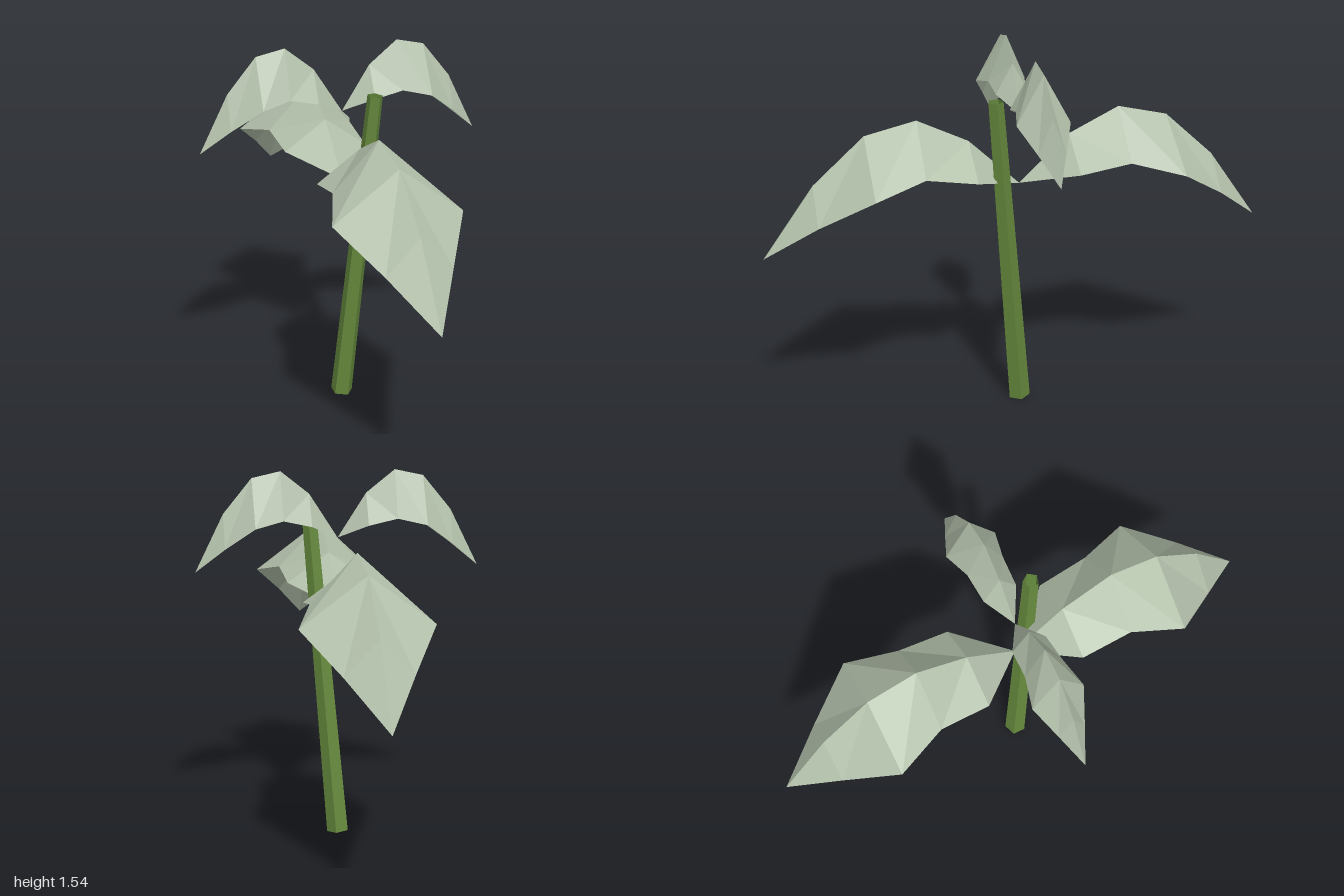
import * as THREE from 'three';

const leafGreen = new THREE.MeshStandardMaterial({ color: 0xb4c2ac, side: THREE.DoubleSide });
leafGreen.name = 'leaf sage green';
const stemGreen = new THREE.MeshStandardMaterial({ color: 0x65893d, side: THREE.DoubleSide });
stemGreen.name = 'stem green';

// How far the leaf margins hang below the midrib at each station
const DROP = [0, 0.125, 0.19, 0.19, 0.135, 0];

// Arched, folded leaf: five equal steps along a straight heading from the stem axis
function makeLeaf(name, tipX, tipZ, heights, halfWidths) {
  const length = Math.hypot(tipX, tipZ);
  const dx = tipX / length, dz = tipZ / length;
  const rib = i => [tipX * i / 5, heights[i], tipZ * i / 5];
  const margin = (i, side) => {
    const [x, y, z] = rib(i);
    const w = halfWidths[i] * side;
    return [x - dz * w, y - DROP[i], z + dx * w];
  };
  const positions = [];
  const triangle = (a, b, c, side) => positions.push(...a, ...(side > 0 ? b : c), ...(side > 0 ? c : b));
  for (const side of [1, -1]) {
    for (let i = 0; i < 5; i++) {
      const a = rib(i), b = margin(i, side), c = margin(i + 1, side), d = rib(i + 1);
      if (i > 0) triangle(a, b, c, side);
      if (i < 4) triangle(a, c, d, side);
    }
  }
  const geometry = new THREE.BufferGeometry();
  geometry.setAttribute('position', new THREE.Float32BufferAttribute(positions, 3));
  geometry.computeVertexNormals(); // unshared corners give flat facets
  const mesh = new THREE.Mesh(geometry, leafGreen);
  mesh.name = name;
  return mesh;
}

// Leaning, tapered five-sided stem
function makeStem() {
  const base = new THREE.Vector3(0, 0.005, 0.002);
  const top = new THREE.Vector3(0.144, 1.35, -0.056);
  const axis = top.clone().sub(base);
  let geometry = new THREE.CylinderGeometry(0.032, 0.047, axis.length(), 5, 1, true);
  geometry.rotateY(Math.PI / 2);
  geometry = geometry.toNonIndexed();
  geometry.computeVertexNormals();
  const mesh = new THREE.Mesh(geometry, stemGreen);
  mesh.name = 'stem';
  mesh.position.copy(base).add(top).multiplyScalar(0.5);
  mesh.quaternion.setFromUnitVectors(new THREE.Vector3(0, 1, 0), axis.normalize());
  return mesh;
}

export function createModel() {
  const plant = new THREE.Group();
  plant.name = 'plant';
  plant.add(makeStem());

  // Lower pair: long, broad leaves
  const lowHeights = [0.975, 1.17, 1.27, 1.222, 1.035, 0.745];
  const lowWidths = [0, 0.176, 0.183, 0.257, 0.13, 0];
  plant.add(makeLeaf('lowerLeftLeaf', 1, 0.31, lowHeights, lowWidths));
  plant.add(makeLeaf('lowerRightLeaf', -1, -0.31, lowHeights, lowWidths));

  // Upper pair: short, narrow leaves
  const highHeights = [1.265, 1.445, 1.537, 1.512, 1.372, 1.14];
  const highWidths = [0, 0.07, 0.077, 0.106, 0.054, 0];
  plant.add(makeLeaf('upperBackLeaf', 0.165, -0.555, highHeights, highWidths));
  plant.add(makeLeaf('upperFrontLeaf', -0.188, 0.552, highHeights, highWidths));
  return plant;
}
